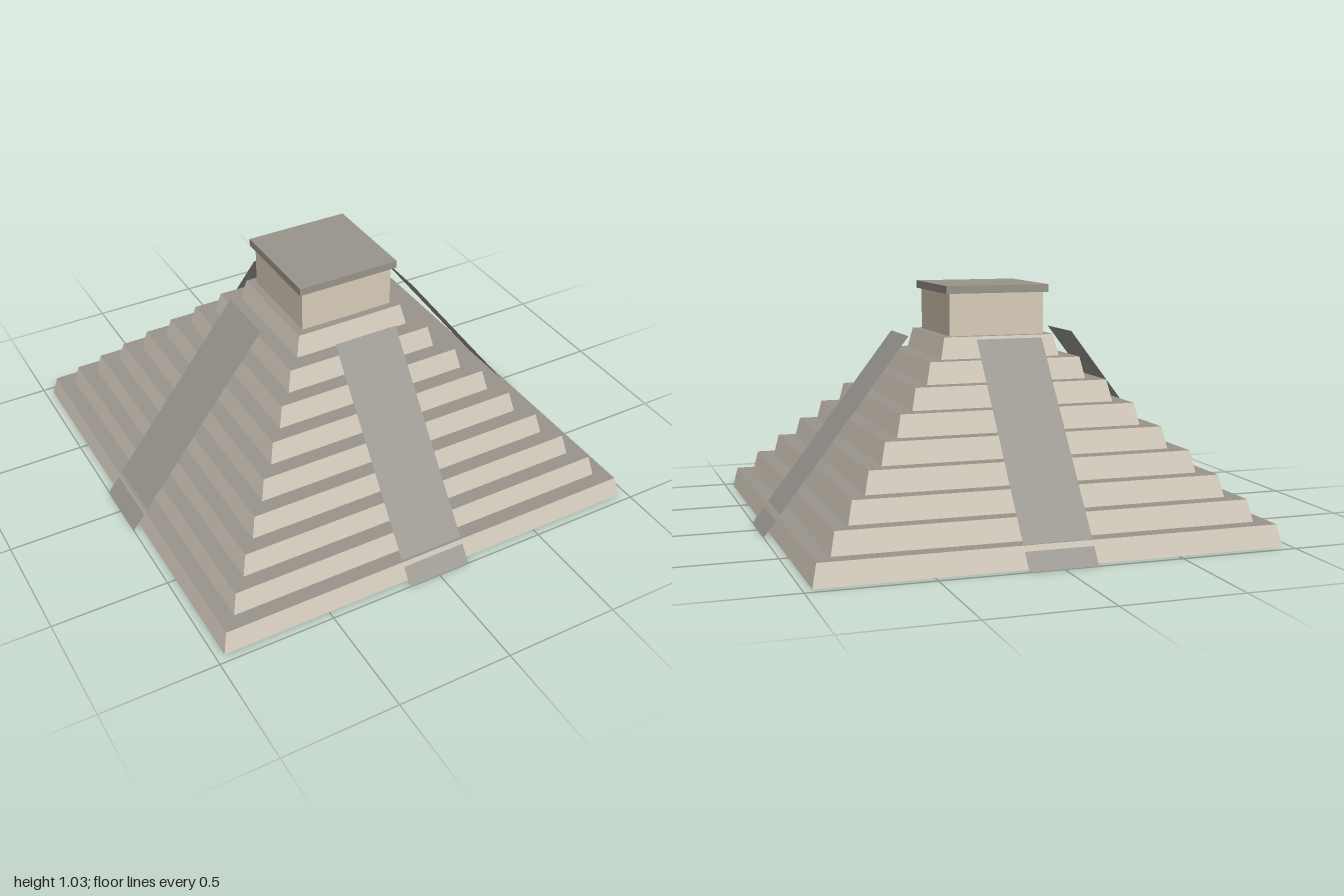
import * as THREE from 'three';

const material = (name, color) => {
  const m = new THREE.MeshStandardMaterial({ color, side: THREE.DoubleSide });
  m.name = name;
  return m;
};

// Open square ring of four sloping faces with sharp edges, standing on y = 0
function slopingWalls(bottomHalf, topHalf, height) {
  const g = new THREE.CylinderGeometry(topHalf * Math.SQRT2, bottomHalf * Math.SQRT2, height, 4, 1, true, Math.PI / 4)
    .toNonIndexed();
  g.computeVertexNormals();
  return g.translate(0, height / 2, 0);
}

export function createModel() {
  const stone = material('pale stone', 0xd8cfc0);
  const wall = material('temple stone', 0xd7ccb9);
  const slab = material('grey slab', 0x99958b);
  const stairStone = material('stair stone', 0x9c9a92);

  const model = new THREE.Group();
  model.name = 'steppedPyramid';
  const add = (parent, name, geometry, mat, y = 0, z = 0) => {
    const mesh = new THREE.Mesh(geometry, mat);
    mesh.name = name;
    mesh.position.set(0, y, z);
    parent.add(mesh);
    return mesh;
  };

  // Nine shrinking terraces: pale risers capped by grey floors, hollow below
  const tiers = 9, tierHeight = 0.0912, step = 0.0875, batter = 0.02;
  const terraces = new THREE.Group();
  terraces.name = 'terraces';
  model.add(terraces);
  for (let i = 0; i < tiers; i++) {
    const half = 0.963 - i * step, topHalf = half - batter;
    const floor = new THREE.PlaneGeometry(2 * topHalf, 2 * topHalf).rotateX(-Math.PI / 2);
    add(terraces, `terraceRiser${i + 1}`, slopingWalls(half, topHalf, tierHeight), stone, i * tierHeight);
    add(terraces, `terraceFloor${i + 1}`, floor, slab, (i + 1) * tierHeight);
  }
  const topY = tiers * tierHeight;

  // One thin sloping stairway on each side
  const run = 0.63;
  const stairs = new THREE.Group();
  stairs.name = 'stairways';
  model.add(stairs);
  ['front', 'left', 'back', 'right'].forEach((side, i) => {
    const ramp = new THREE.PlaneGeometry(0.285, Math.hypot(topY, run))
      .rotateX(-Math.atan2(run, topY))
      .translate(0, topY / 2, 1 - run / 2);
    add(stairs, `${side}Stairway`, ramp, stairStone).rotation.y = i * Math.PI / 2;
  });

  // Temple with a flush door panel and an overhanging roof
  const temple = new THREE.Group();
  temple.name = 'temple';
  model.add(temple);
  add(temple, 'templeWalls', new THREE.BoxGeometry(0.42, 0.18, 0.42), wall, topY + 0.09);
  add(temple, 'door', new THREE.PlaneGeometry(0.1, 0.112), wall, topY + 0.056, 0.2115);
  add(temple, 'roof', new THREE.BoxGeometry(0.456, 0.033, 0.456), slab, topY + 0.1965);

  return model;
}
